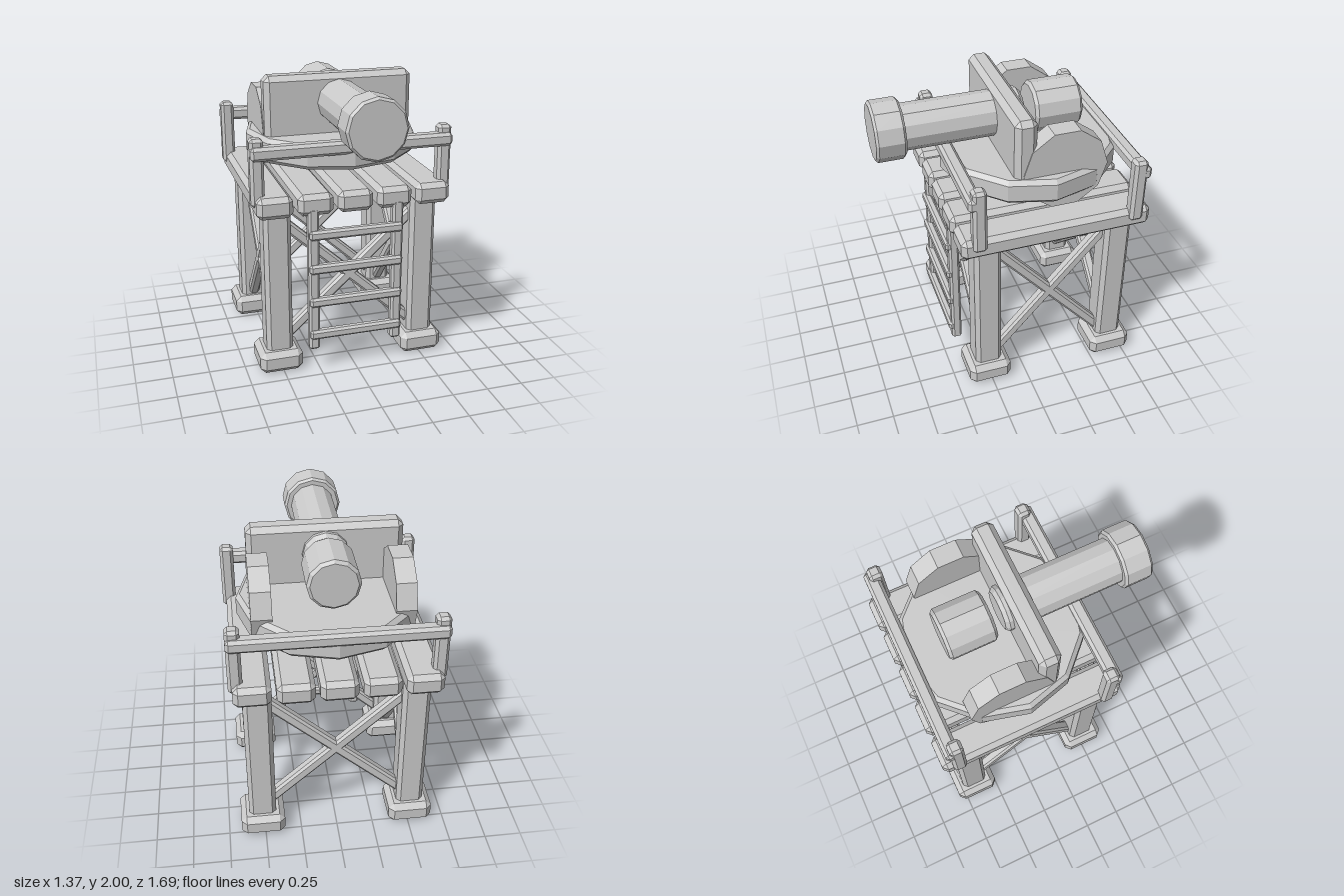
import * as THREE from 'three';
import { ConvexGeometry } from 'three/addons/geometries/ConvexGeometry.js';

const CZ = -0.195; // depth of the tower's centre line

export function createModel() {
  const model = new THREE.Group();
  const mat = new THREE.MeshStandardMaterial({ color: 0xcccccc, flatShading: true });

  const add = (name, geo, x = 0, y = 0, z = 0) => {
    const mesh = new THREE.Mesh(geo, mat);
    mesh.name = name;
    mesh.position.set(x, y, z);
    model.add(mesh);
    return mesh;
  };

  // Box with chamfered edges and corners
  const chamferBox = (w, h, d, b) => {
    const pts = [];
    for (const sx of [-1, 1]) for (const sy of [-1, 1]) for (const sz of [-1, 1])
      for (const [bx, by, bz] of [[0, b, b], [b, 0, b], [b, b, 0]])
        pts.push(new THREE.Vector3(sx * (w / 2 - bx), sy * (h / 2 - by), sz * (d / 2 - bz)));
    return new ConvexGeometry(pts);
  };

  // Solid 12-sided cylinder along y with chamfered rims
  const chamferCylinder = (r, y0, y1, b) => new THREE.LatheGeometry(
    [[0, y0], [r - b, y0], [r, y0 + b], [r, y1 - b], [r - b, y1], [0, y1]]
      .map(([x, y]) => new THREE.Vector2(x, y)), 12);

  // Legs and feet
  for (const x of [-0.513, 0.513]) for (const z of [0.262, -0.652]) {
    add('foot', chamferBox(0.3, 0.155, 0.3, 0.037), x, 0.0775, z);
    add('leg', chamferBox(0.185, 1.1, 0.185, 0.028), x, 0.65, z);
  }

  // Crossed braces on all four sides
  for (const s of [-1, 1]) for (const t of [-1, 1]) {
    const front = add('crossBrace', chamferBox(0.075, 1.28, 0.075, 0.015), 0, 0.64, CZ + s * 0.457);
    front.rotation.z = t * Math.atan2(0.93, 0.85);
    const side = add('sideBrace', chamferBox(0.075, 1.3, 0.075, 0.015), s * 0.513, 0.64, CZ);
    side.rotation.x = t * Math.atan2(0.8, 0.92);
  }

  // Deck planks
  for (let i = -2; i <= 2; i++)
    add('deckPlank', chamferBox(0.241, 0.147, 1.295, 0.033), i * 0.271, 1.2185, -0.197);

  // Guard rails with posts, front and back
  for (const [postZ, railZ] of [[0.335, 0.362], [-0.73, -0.758]]) {
    for (const x of [-0.64, 0.64])
      add('railPost', chamferBox(0.092, 0.455, 0.092, 0.02), x, 1.4425, postZ);
    add('guardRail', chamferBox(1.37, 0.09, 0.095, 0.02), 0, 1.575, railZ);
  }

  // Ladder
  for (const x of [-0.292, 0.292])
    add('ladderRail', chamferBox(0.075, 1.03, 0.07, 0.015), x, 0.685, 0.417);
  for (let i = 0; i < 4; i++)
    add('ladderRung', chamferBox(0.65, 0.066, 0.06, 0.015), 0, 0.285 + i * 0.2427, 0.442);

  // Turntable
  add('turntable', chamferCylinder(0.6, 1.42, 1.59, 0.028), 0, 0, CZ);

  // Ten-sided side cheeks
  for (const x of [-0.452, 0.452]) {
    const cheek = new THREE.CylinderGeometry(0.283, 0.283, 0.133, 10);
    cheek.rotateY(Math.PI / 2).rotateZ(Math.PI / 2);
    // flat edge at top, corners fore and aft
    const p = cheek.attributes.position;
    let maxZ = 0;
    for (let i = 0; i < p.count; i++) maxZ = Math.max(maxZ, p.getZ(i));
    if (maxZ < 0.28) cheek.rotateX(Math.PI / 10);
    add('sideCheek', cheek, x, 1.608, -0.282);
  }

  // Shield plate
  add('shieldPlate', chamferBox(1.025, 0.485, 0.148, 0.036), 0, 1.7475, -0.021);

  // Barrel, muzzle and breech lie along z
  for (const [name, r, z0, z1, b] of [
    ['barrel', 0.153, -0.145, 0.68, 0.025],
    ['muzzle', 0.2, 0.65, 0.845, 0.016],
    ['breech', 0.172, -0.535, -0.208, 0.02]])
    add(name, chamferCylinder(r, z0, z1, b).rotateX(Math.PI / 2), 0, 1.8, 0);

  return model;
}
